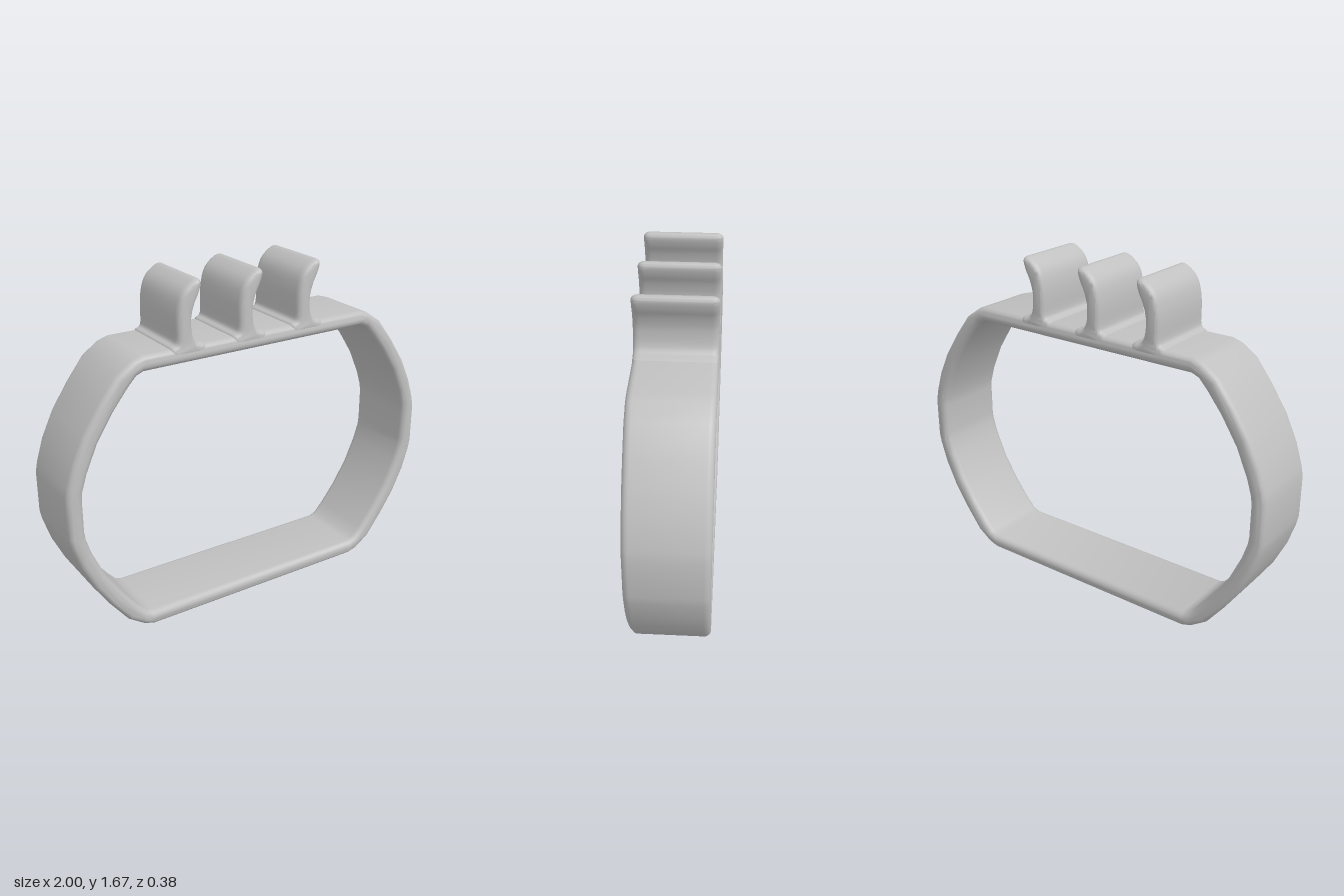
import * as THREE from 'three';
import { toCreasedNormals } from 'three/addons/utils/BufferGeometryUtils.js';

const MID_Y = 0.685; // the band is symmetric about this height

// Mirror one quadrant (top to side, y from the middle) into a closed loop.
function mirrorLoop(quadrant) {
  const back = [...quadrant].reverse();
  return [
    ...quadrant,
    ...back.map(([x, y]) => [x, -y]),
    ...quadrant.map(([x, y]) => [-x, -y]),
    ...back.map(([x, y]) => [-x, y]),
  ].map(([x, y]) => new THREE.Vector2(x, y + MID_Y));
}

// Extrude along z with rounded rims that stay inside the drawn outline.
function roundedExtrude(shape, halfDepth, bevel, rim) {
  const geometry = new THREE.ExtrudeGeometry(shape, {
    depth: 2 * (halfDepth - rim),
    bevelEnabled: true,
    bevelSize: bevel,
    bevelOffset: -bevel,
    bevelThickness: rim,
    bevelSegments: 5,
  });
  geometry.translate(0, 0, -(halfDepth - rim));
  return toCreasedNormals(geometry, 0.7);
}

export function createModel() {
  const model = new THREE.Group();
  model.name = 'hookedBand';
  const grey = new THREE.MeshStandardMaterial({ color: 0xc0c0c0 });
  grey.name = 'light grey';

  // Flat-topped ring
  const outer = [[0.6, 0.685], [0.65, 0.67], [0.73, 0.615], [0.815, 0.505],
    [0.895, 0.385], [0.955, 0.26], [0.99, 0.15], [1, 0.1]];
  const inner = [[0.6, 0.612], [0.635, 0.598], [0.68, 0.55], [0.755, 0.455],
    [0.835, 0.33], [0.893, 0.2], [0.918, 0.12], [0.923, 0.08]];
  const ring = new THREE.Shape(mirrorLoop(outer));
  ring.holes.push(new THREE.Path(mirrorLoop(inner).reverse()));
  const band = new THREE.Mesh(roundedExtrude(ring, 0.19, 0.03, 0.032), grey);
  band.name = 'band';
  model.add(band);

  // Curled hook with a flared foot sunk into the band; x from the shaft centre
  const outline = [[0.11, 1.32], [0.105, 1.37], [0.06, 1.385], [0.042, 1.42],
    [0.037, 1.47], [0.04, 1.51], [0.055, 1.56], [0.075, 1.6], [0.088, 1.64],
    [0.085, 1.66], [0.07, 1.668], [0.045, 1.66], [0.005, 1.63], [-0.02, 1.59],
    [-0.034, 1.53], [-0.038, 1.47], [-0.038, 1.41], [-0.045, 1.385],
    [-0.07, 1.37], [-0.07, 1.32]];
  const curve = new THREE.SplineCurve(outline.map(([x, y]) => new THREE.Vector2(x, y)));
  const hookGeometry = roundedExtrude(new THREE.Shape(curve.getPoints(57)), 0.189, 0.022, 0.032);
  ['rightHook', 'middleHook', 'leftHook'].forEach((name, i) => {
    const hook = new THREE.Mesh(hookGeometry, grey);
    hook.name = name;
    hook.position.x = -0.393 + 0.322 * i;
    model.add(hook);
  });

  return model;
}
